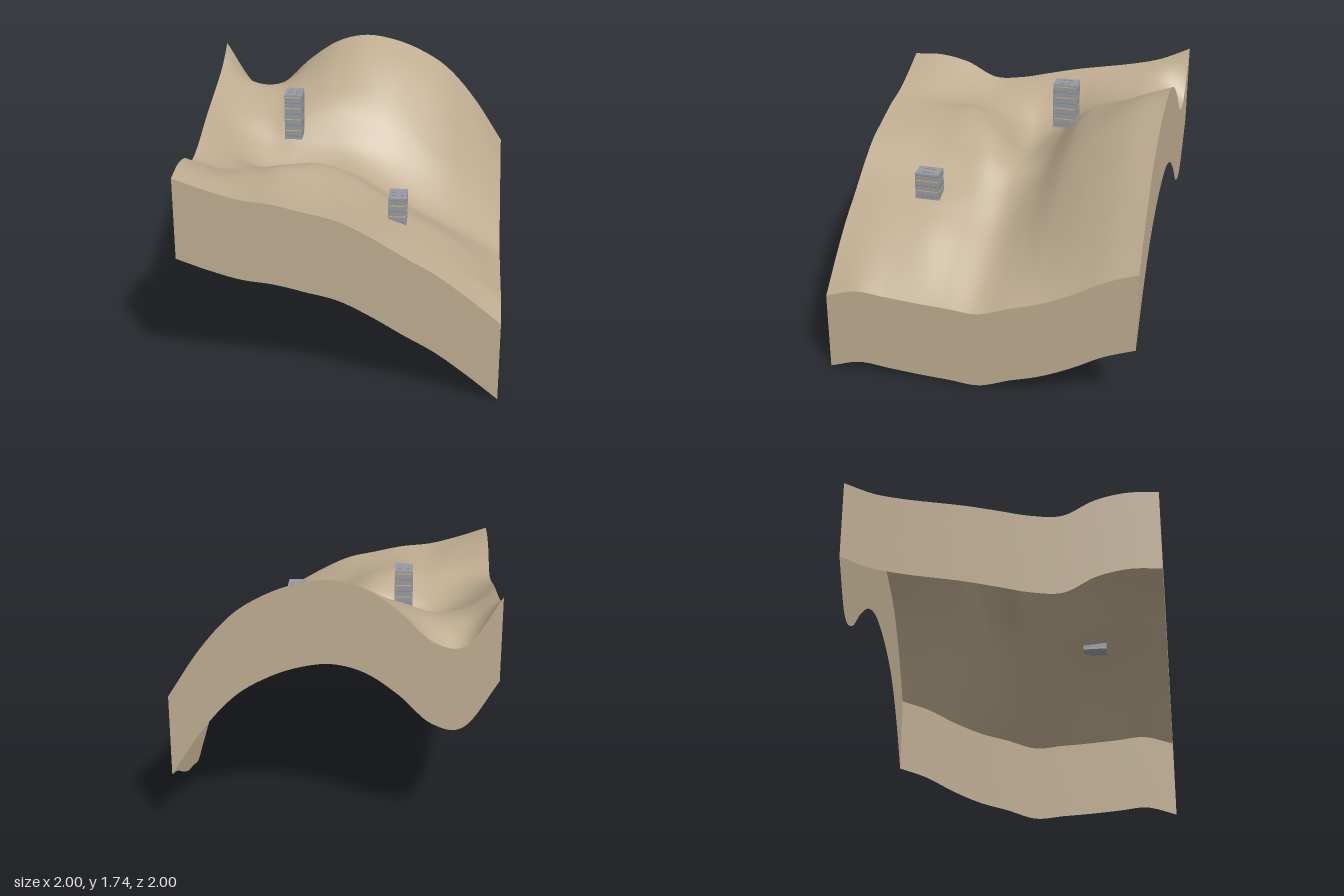
import * as THREE from 'three';

const terrainMat = new THREE.MeshStandardMaterial({ name: 'sandstone', color: 0xbeac90, side: THREE.DoubleSide });
const wallMat = new THREE.MeshStandardMaterial({ name: 'concrete', color: 0x969ba1 });
const litMat = new THREE.MeshStandardMaterial({ name: 'warm window', color: 0xd2b67c });
const dimMat = new THREE.MeshStandardMaterial({ name: 'dim window', color: 0x868d98 });

const DEPTH = 0.535;

// Ground heights: rows run back to front, columns run x = -1 to 1, step 0.2
const HEIGHTS = [
  [1.65, 1.345, 1.36, 1.545, 1.685, 1.74, 1.715, 1.64, 1.51, 1.28, 0.97],
  [1.555, 1.435, 1.415, 1.51, 1.61, 1.66, 1.635, 1.55, 1.41, 1.18, 0.89],
  [1.5, 1.41, 1.39, 1.45, 1.515, 1.54, 1.51, 1.41, 1.26, 1.03, 0.775],
  [1.46, 1.35, 1.31, 1.37, 1.4, 1.39, 1.34, 1.23, 1.07, 0.87, 0.68],
  [1.42, 1.26, 1.17, 1.17, 1.17, 1.16, 1.1, 1.0, 0.88, 0.74, 0.615],
  [1.37, 1.22, 1.1, 1.07, 1.09, 1.085, 0.985, 0.87, 0.77, 0.66, 0.545],
  [1.32, 1.23, 1.19, 1.21, 1.23, 1.16, 1.03, 0.915, 0.81, 0.69, 0.555],
  [1.305, 1.25, 1.25, 1.285, 1.26, 1.16, 1.04, 0.965, 0.87, 0.73, 0.565],
  [1.4, 1.32, 1.27, 1.28, 1.24, 1.15, 1.055, 0.98, 0.88, 0.74, 0.58],
  [1.44, 1.36, 1.29, 1.27, 1.23, 1.165, 1.075, 0.985, 0.875, 0.74, 0.595],
  [1.43, 1.36, 1.305, 1.28, 1.235, 1.185, 1.085, 0.965, 0.85, 0.7, 0.535],
];

// Smooth cubic through evenly spaced values, with linear extension at the ends
function cubic(values, u) {
  const n = values.length - 1;
  const i = Math.min(Math.floor(u), n - 1);
  const t = u - i;
  const b = values[i], c = values[i + 1];
  const a = i > 0 ? values[i - 1] : 2 * b - c;
  const d = i + 2 <= n ? values[i + 2] : 2 * c - b;
  return b + 0.5 * t * (c - a + t * (2 * a - 5 * b + 4 * c - d + t * (3 * (b - c) + d - a)));
}

function groundHeight(x, z) {
  const u = THREE.MathUtils.clamp((x + 1) * 5, 0, 10);
  const v = THREE.MathUtils.clamp((z + 1) * 5, 0, 10);
  return cubic(HEIGHTS.map((row) => cubic(row, u)), v);
}

function addMesh(parent, geometry, material, name, x = 0, y = 0, z = 0) {
  const mesh = new THREE.Mesh(geometry, material);
  mesh.name = name;
  mesh.position.set(x, y, z);
  parent.add(mesh);
}

function createTerrain() {
  const terrain = new THREE.Group();
  terrain.name = 'terrain';

  // Rolling top surface
  const top = new THREE.PlaneGeometry(2, 2, 80, 80).rotateX(-Math.PI / 2);
  const p = top.attributes.position;
  for (let i = 0; i < p.count; i++) p.setY(i, groundHeight(p.getX(i), p.getZ(i)));
  top.computeVertexNormals();
  addMesh(terrain, top, terrainMat, 'groundSurface');

  // Four side walls whose lower edge follows the ground; open underneath
  ['frontWall', 'leftWall', 'backWall', 'rightWall'].forEach((name, k) => {
    const wall = new THREE.PlaneGeometry(2, 2, 80, 1).translate(0, 0, 1).rotateY(k * Math.PI / 2);
    const q = wall.attributes.position;
    for (let i = 0; i < q.count; i++) {
      q.setY(i, groundHeight(q.getX(i), q.getZ(i)) - (q.getY(i) < 0 ? DEPTH : 0));
    }
    addMesh(terrain, wall, terrainMat, name);
  });
  return terrain;
}

function createTower(name, x, z, base, height, floors) {
  const W = 0.115, D = 0.16;
  const tower = new THREE.Group();
  tower.name = name;
  tower.position.set(x, base, z);
  addMesh(tower, new THREE.BoxGeometry(W, height, D), wallMat, 'towerBody', 0, height / 2, 0);

  // Low rooftop units
  for (const sx of [-1, 1]) {
    for (const sz of [-1, 1]) {
      addMesh(tower, new THREE.BoxGeometry(0.02, 0.008, 0.03), wallMat, 'roofUnit',
        sx * 0.028, height + 0.004, sz * 0.022);
    }
  }

  // Thin window strips on every floor, on all four sides
  const step = height / floors;
  for (let f = 0; f < floors; f++) {
    const y = (f + 0.6) * step;
    const mat = f % 2 ? litMat : dimMat;
    for (const s of [-1, 1]) {
      addMesh(tower, new THREE.BoxGeometry(W * 0.9, 0.006, 0.002), mat, 'windowStrip', 0, y, s * D / 2);
      addMesh(tower, new THREE.BoxGeometry(0.002, 0.006, D * 0.9), mat, 'windowStrip', s * W / 2, y, 0);
    }
  }
  return tower;
}

export function createModel() {
  const model = new THREE.Group();
  model.name = 'hillsideWithTowers';
  model.add(createTerrain());
  model.add(createTower('tallTower', -0.417, -0.25, 1.247, 0.312, 8));
  model.add(createTower('shortTower', 0.333, 0.5, 0.982, 0.182, 5));
  return model;
}
